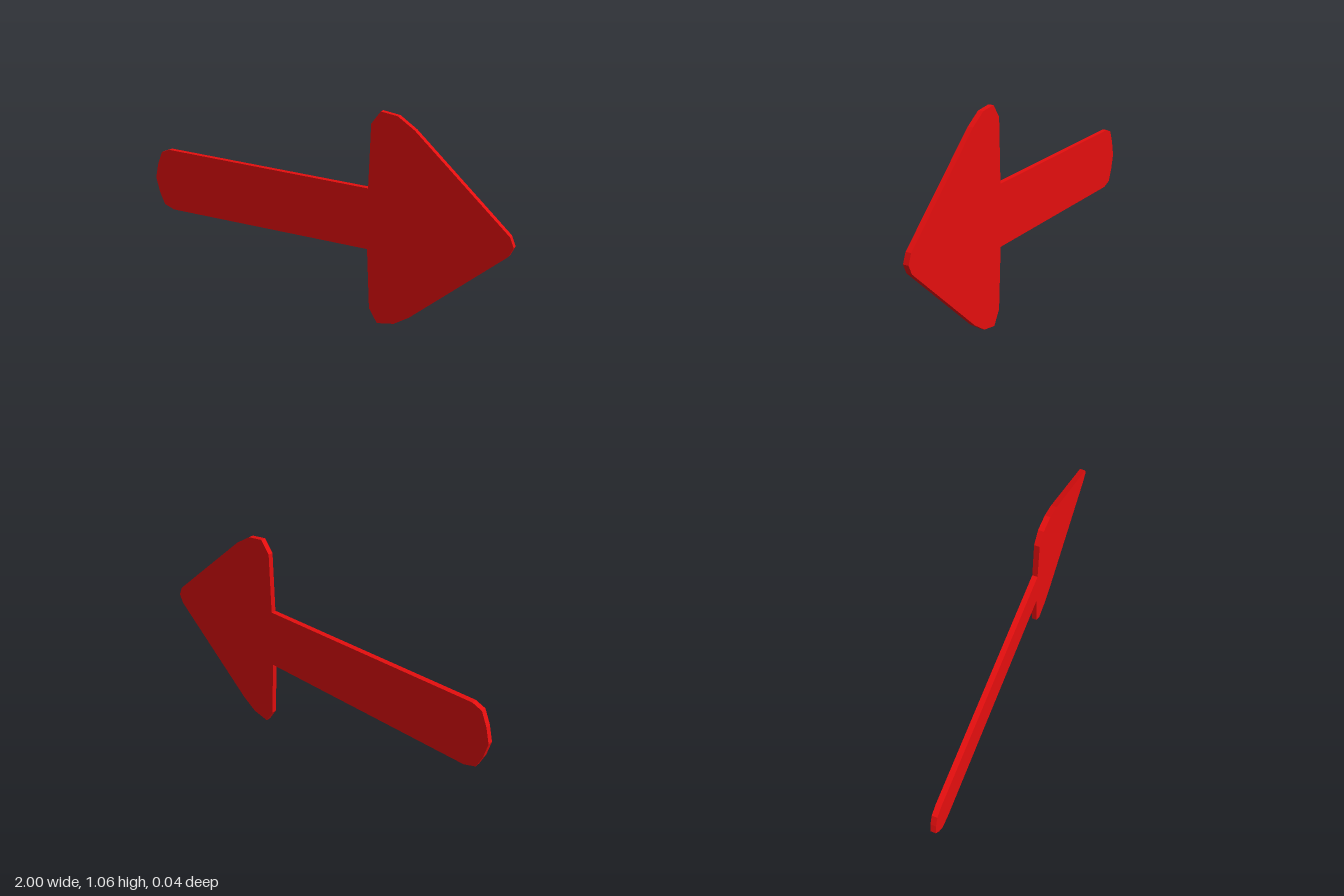
import * as THREE from 'three';

// Arrow outline, clockwise from the tail tip
const OUTLINE = [
  // rounded tail and upper shaft edge
  [-1, 0.52], [-0.98, 0.6], [-0.95, 0.67], [-0.9, 0.69], [0.285, 0.687],
  // upper barb
  [0.293, 1.0], [0.34, 1.063], [0.425, 1.052], [0.51, 0.998],
  // blunt tip
  [0.98, 0.587], [1, 0.54], [0.98, 0.495],
  // lower barb
  [0.52, 0.075], [0.44, 0.02], [0.35, 0], [0.305, 0.07],
  // lower shaft edge back to the tail
  [0.287, 0.38], [-0.89, 0.355], [-0.95, 0.375], [-0.98, 0.44],
];
const THICKNESS = 0.027;

export function createModel() {
  const shape = new THREE.Shape(OUTLINE.map(([x, y]) => new THREE.Vector2(x, y)));
  const geometry = new THREE.ExtrudeGeometry(shape, { depth: THICKNESS, bevelEnabled: false });

  // The plate leans very slightly: forward towards the tip, back towards the top
  const pos = geometry.attributes.position;
  for (let i = 0; i < pos.count; i++) {
    const lean = 0.0065 * pos.getX(i) - 0.004 * (pos.getY(i) - 0.53);
    pos.setZ(i, pos.getZ(i) - THICKNESS / 2 + lean);
  }
  geometry.computeVertexNormals();

  const arrow = new THREE.Mesh(
    geometry,
    new THREE.MeshStandardMaterial({ color: 0xe50e0e, flatShading: true }),
  );
  arrow.name = 'arrowPlate';

  const model = new THREE.Group();
  model.name = 'arrow';
  model.add(arrow);
  return model;
}
